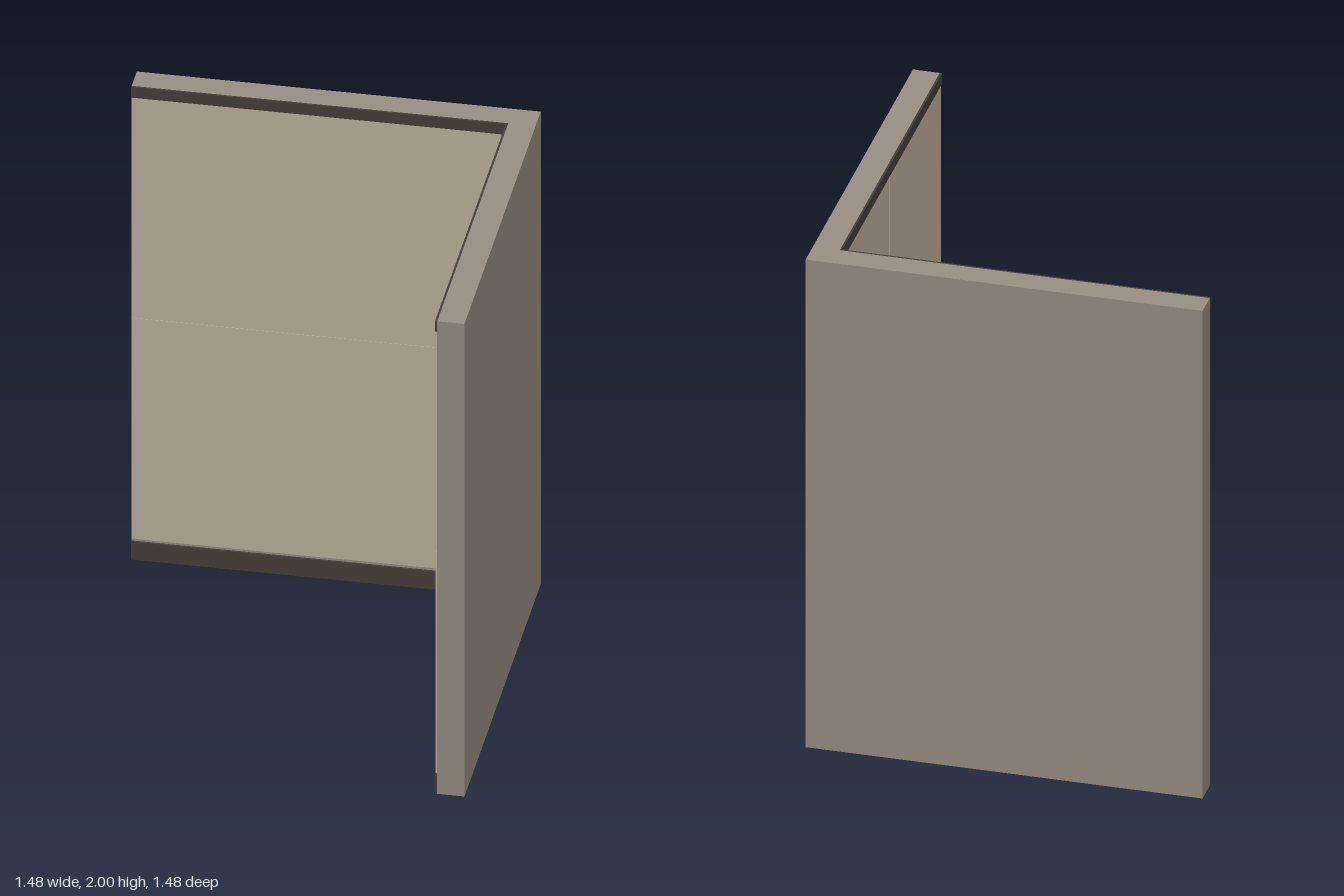
import * as THREE from 'three';

const material = (name, color) => {
  const m = new THREE.MeshStandardMaterial({ color });
  m.name = name;
  return m;
};

export function createModel() {
  const wallGrey = material('wallGrey', 0x958e81);
  const panelBeige = material('panelBeige', 0xbdb39e);
  const trimDark = material('trimDark', 0x453f37);

  const model = new THREE.Group();
  model.name = 'wallCorner';

  const HALF = 0.74, INNER = 0.64, LENGTH = HALF + INNER, HEIGHT = 2;

  // Structural L-shaped wall, seen from above, extruded upwards
  const plan = new THREE.Shape([
    [-HALF, HALF], [-HALF, INNER], [INNER, INNER],
    [INNER, -HALF], [HALF, -HALF], [HALF, HALF],
  ].map(([x, y]) => new THREE.Vector2(x, y)));
  const wallGeometry = new THREE.ExtrudeGeometry(plan, { depth: HEIGHT, bevelEnabled: false });
  wallGeometry.rotateX(-Math.PI / 2);
  const wall = new THREE.Mesh(wallGeometry, wallGrey);
  wall.name = 'wall';
  model.add(wall);

  // Adds a slab on the inner face; u runs from the free end towards the corner
  function addSlab(group, onBack, name, mat, u0, u1, y0, y1, depth) {
    const w = u1 - u0, mid = (u0 + u1) / 2, h = y1 - y0;
    const geometry = onBack
      ? new THREE.BoxGeometry(w, h, depth)
      : new THREE.BoxGeometry(depth, h, w);
    const mesh = new THREE.Mesh(geometry, mat);
    if (onBack) mesh.position.set(-HALF + mid, (y0 + y1) / 2, -INNER + depth / 2);
    else mesh.position.set(INNER - depth / 2, (y0 + y1) / 2, HALF - mid);
    mesh.name = name;
    group.add(mesh);
  }

  // Panel columns step back towards the corner; the lower row stands prouder
  const columns = [0, 0.354, 0.708, 1.062, LENGTH];
  const rows = [0.088, 1.022, 1.955];
  const columnDepth = [0.005, 0.005, 0.0035, 0.002];

  for (const onBack of [true, false]) {
    const lining = new THREE.Group();
    lining.name = onBack ? 'backLining' : 'leftLining';
    for (let r = 0; r < 2; r++) {
      for (let c = 0; c < 4; c++) {
        const depth = columnDepth[c] + (r === 0 ? 0.0015 : 0);
        addSlab(lining, onBack, 'panel', panelBeige,
          columns[c], columns[c + 1], rows[r], rows[r + 1], depth);
      }
    }
    // Skirting and top trim
    addSlab(lining, onBack, 'skirting', trimDark, 0, LENGTH, 0, 0.076, 0.008);
    addSlab(lining, onBack, 'topTrim', trimDark, 0, LENGTH, 1.955, HEIGHT, 0.008);
    model.add(lining);
  }
  return model;
}
